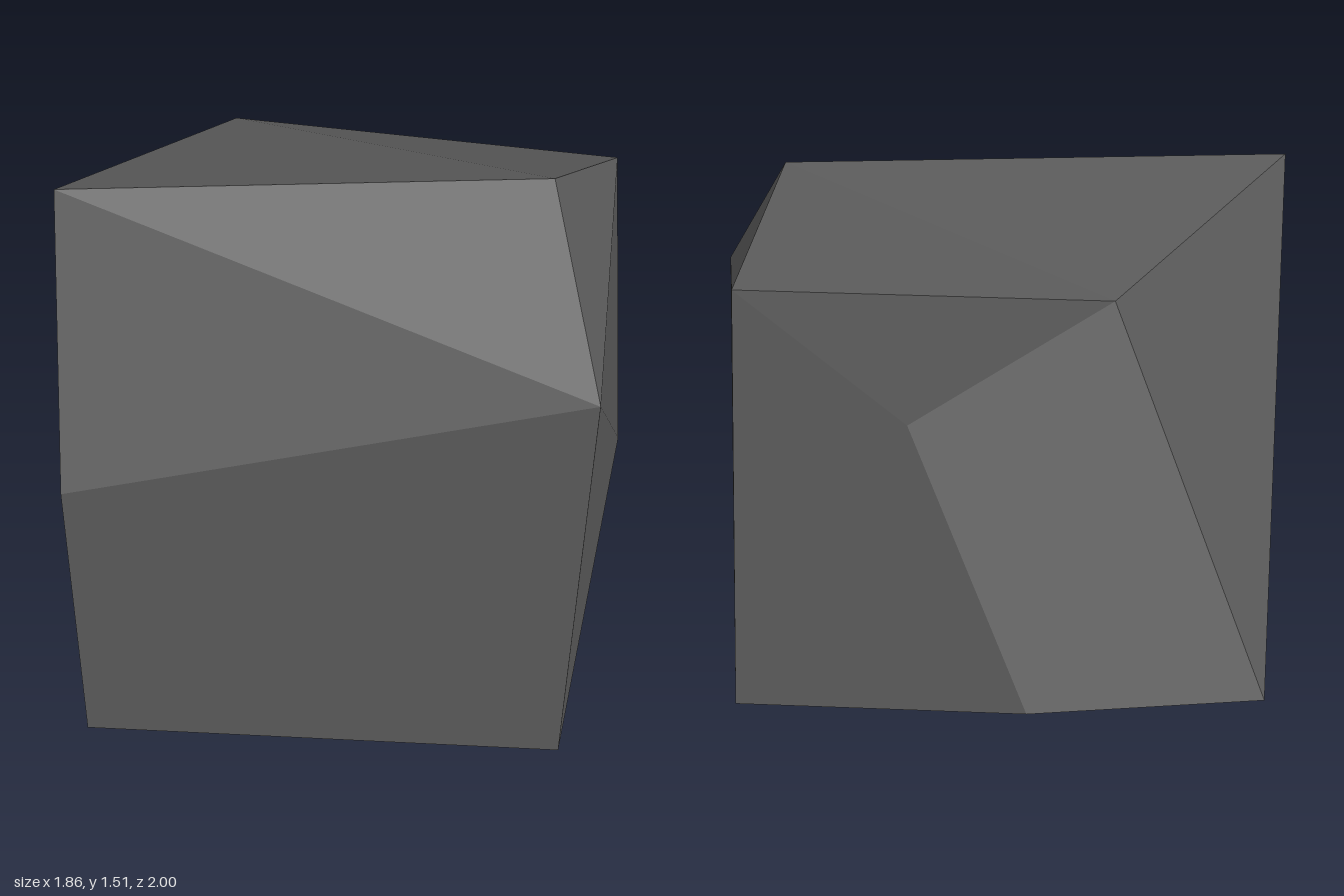
import * as THREE from 'three';

// Corners of the boulder
const P = {
  backLeft: [-0.24, 0, -1.0], backRight: [0.67, 0, -0.97],
  frontRight: [0.845, 0, 0.845], frontLeft: [-0.6, 0, 1.0], sideLeft: [-0.93, 0, -0.67],
  shoulder: [0.925, 1.09, 0.575], chip: [-0.715, 0.74, 0.85],
  peakLeft: [-0.84, 1.515, 0.335], peakRight: [0.66, 1.515, -0.03],
  rimRight: [0.735, 1.23, -0.635], rimLeft: [-0.46, 1.23, -0.63], notch: [0.17, 0.844, -0.75],
};

// Facets, each a fan from its first corner
const FACETS = [
  ['sideLeft', 'frontLeft', 'frontRight', 'backRight', 'backLeft'], // underside
  ['chip', 'frontLeft', 'frontRight', 'shoulder'],                  // front
  ['chip', 'shoulder', 'peakLeft'],
  ['peakLeft', 'shoulder', 'peakRight'],
  ['peakLeft', 'peakRight', 'rimLeft'],                             // top
  ['peakRight', 'rimRight', 'rimLeft'],
  ['peakRight', 'shoulder', 'rimRight'],                            // sides
  ['shoulder', 'frontRight', 'backRight', 'rimRight'],
  ['peakLeft', 'rimLeft', 'sideLeft'],
  ['peakLeft', 'sideLeft', 'frontLeft', 'chip'],
  ['rimLeft', 'rimRight', 'notch'],                                 // back
  ['notch', 'rimRight', 'backRight', 'backLeft'],
  ['rimLeft', 'notch', 'backLeft', 'sideLeft'],
];

function facetedGeometry() {
  const positions = [], normals = [];
  const centre = new THREE.Vector3(0, 0.65, 0);
  for (const names of FACETS) {
    let pts = names.map((n) => new THREE.Vector3(...P[n]));
    // One shared normal per facet, turned outward
    const normal = new THREE.Vector3();
    pts.forEach((p, i) => normal.add(p.clone().cross(pts[(i + 1) % pts.length])));
    normal.normalize();
    if (normal.dot(pts[0].clone().sub(centre)) < 0) {
      normal.negate();
      pts = [pts[0], ...pts.slice(1).reverse()];
    }
    for (let i = 1; i < pts.length - 1; i++) {
      for (const p of [pts[0], pts[i], pts[i + 1]]) {
        positions.push(p.x, p.y, p.z);
        normals.push(normal.x, normal.y, normal.z);
      }
    }
  }
  const geometry = new THREE.BufferGeometry();
  geometry.setAttribute('position', new THREE.Float32BufferAttribute(positions, 3));
  geometry.setAttribute('normal', new THREE.Float32BufferAttribute(normals, 3));
  return geometry;
}

export function createModel() {
  const stone = new THREE.MeshStandardMaterial({ color: 0x595959 });
  stone.name = 'grey stone';
  const boulder = new THREE.Mesh(facetedGeometry(), stone);
  boulder.name = 'boulder';
  const group = new THREE.Group();
  group.name = 'rock';
  group.add(boulder);
  return group;
}
